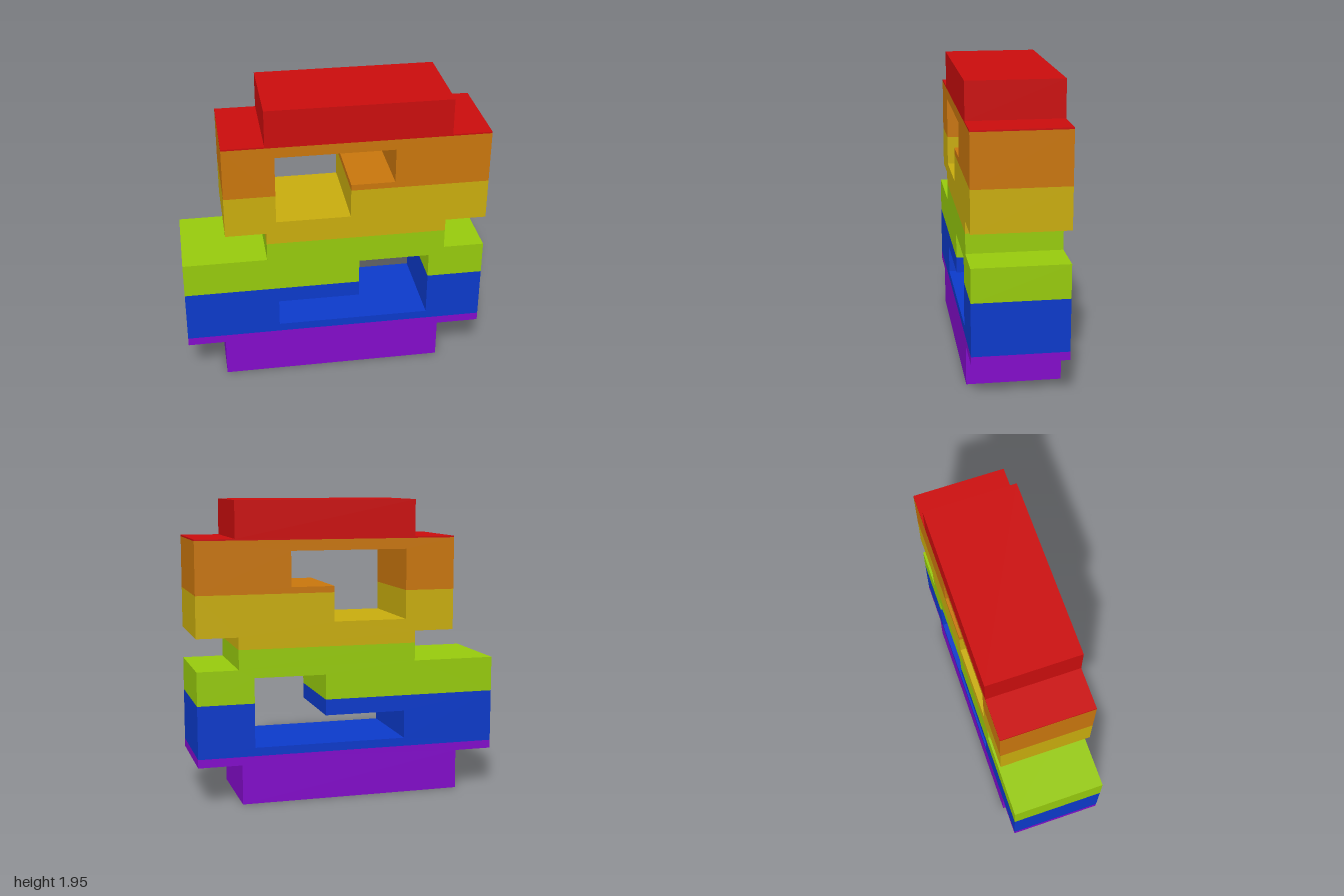
import * as THREE from 'three';

const DEPTH = 0.61;

// Horizontal colour bands of one stepped digit-like block, bottom to top.
// Each outline is a counter-clockwise list of [x, y] corners; openings are notched into the bands.
const bands = [
  { name: 'purpleBase', color: 0xcb0ccb & 0x930ccb, outline: [
    [-0.75, 0], [0.715, 0], [0.715, 0.26], [1, 0.26], [1, 0.315],
    [-1, 0.315], [-1, 0.26], [-0.75, 0.26]] },
  { name: 'blueBand', color: 0x0c3acb, outline: [
    [-1, 0.315], [1, 0.315], [1, 0.66], [0.63, 0.66], [0.63, 0.37],
    [-0.38, 0.37], [-0.38, 0.555], [0.16, 0.555], [0.16, 0.66], [-1, 0.66]] },
  { name: 'greenBand', color: 0x97cb0d, outline: [
    [-1, 0.66], [0.16, 0.66], [0.16, 0.825], [0.63, 0.825], [0.63, 0.66], [1, 0.66],
    [1, 0.88], [0.73, 0.88], [0.73, 1.01], [-0.45, 1.01], [-0.45, 0.89], [-1, 0.89]] },
  { name: 'yellowBand', color: 0xc9ad0e, outline: [
    [-0.45, 1.01], [0.73, 1.01], [0.73, 1.09], [1, 1.09], [1, 1.36], [0.1, 1.36],
    [0.1, 1.17], [-0.385, 1.17], [-0.385, 1.36], [-0.715, 1.36], [-0.715, 1.09], [-0.45, 1.09]] },
  { name: 'orangeBand', color: 0xc9760d, outline: [
    [-0.715, 1.36], [-0.385, 1.36], [-0.385, 1.63], [0.385, 1.63], [0.385, 1.4],
    [0.1, 1.4], [0.1, 1.36], [1, 1.36], [1, 1.7], [-0.715, 1.7]] },
  { name: 'redTop', color: 0xcb0d0d, outline: [
    [-0.715, 1.7], [1, 1.7], [1, 1.71], [0.745, 1.71], [0.745, 1.95],
    [-0.445, 1.95], [-0.445, 1.71], [-0.715, 1.71]] },
];

export function createModel() {
  const model = new THREE.Group();
  model.name = 'rainbowBlock';
  for (const { name, color, outline } of bands) {
    const shape = new THREE.Shape(outline.map(([x, y]) => new THREE.Vector2(x, y)));
    const geometry = new THREE.ExtrudeGeometry(shape, { depth: DEPTH, bevelEnabled: false });
    geometry.translate(0, 0, -DEPTH / 2);
    const material = new THREE.MeshStandardMaterial({ color });
    material.name = name.replace(/[A-Z].*/, '');
    const mesh = new THREE.Mesh(geometry, material);
    mesh.name = name;
    model.add(mesh);
  }
  return model;
}
